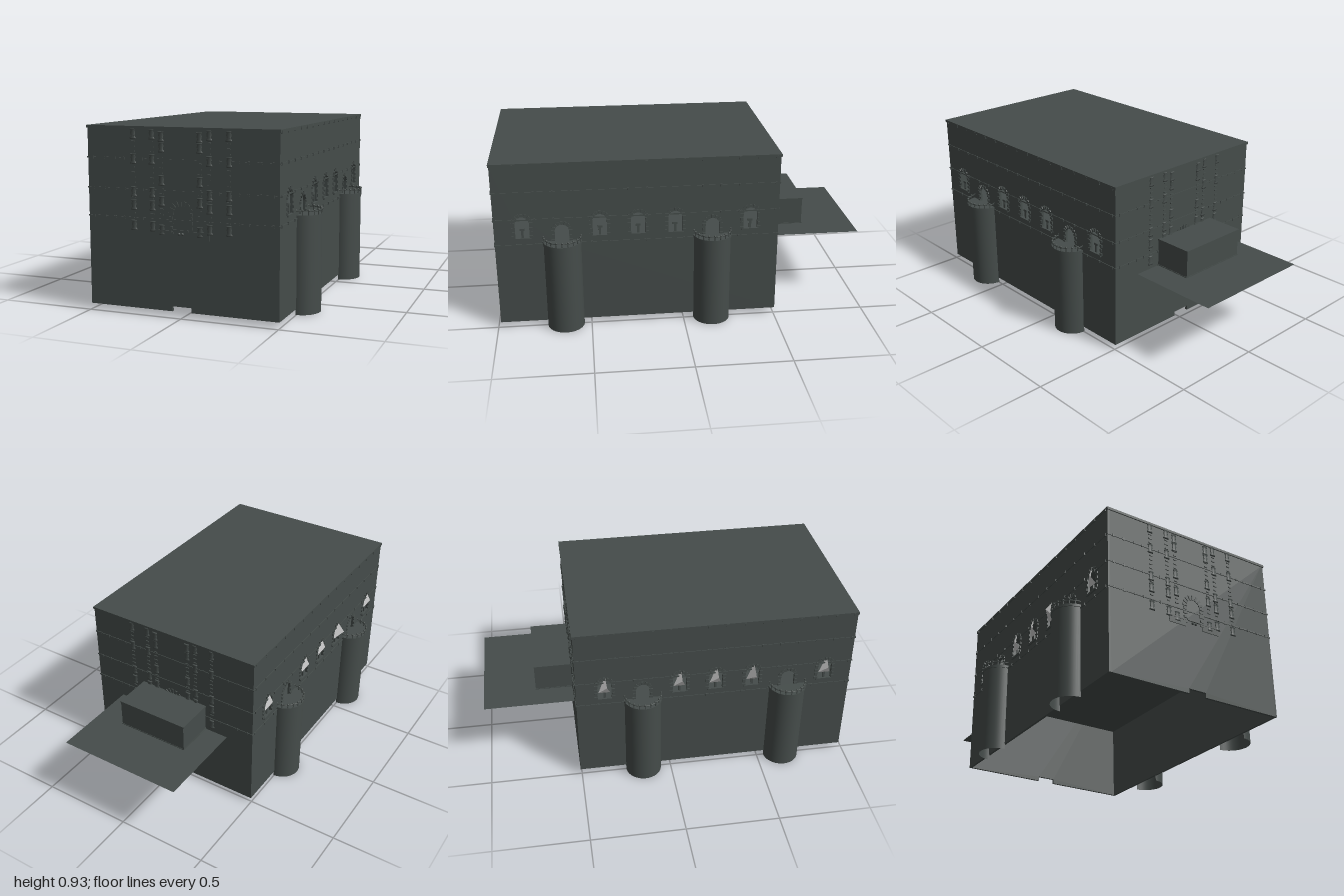
import * as THREE from 'three';

export function createModel() {
  const root = new THREE.Group();
  const stone = new THREE.MeshStandardMaterial({ color: 0x454c4a, side: THREE.DoubleSide });
  stone.name = 'dark stone';
  const glass = new THREE.MeshStandardMaterial({ color: 0xd0d0d0, side: THREE.DoubleSide });
  glass.name = 'pale glass';

  const add = (name, geo, x, y, z, parent = root, mat = stone) => {
    const m = new THREE.Mesh(geo, mat);
    m.name = name;
    m.position.set(x, y, z);
    parent.add(m);
    return m;
  };
  const box = (name, w, h, d, x, y, z, parent) => add(name, new THREE.BoxGeometry(w, h, d), x, y, z, parent);

  const X = 0.5, FRONT = 0.985, BACK = -0.507, BASE = 0.03, TOP = 0.915, T = 0.012;
  const MID = (FRONT + BACK) / 2, LEN = FRONT - BACK;
  const windows = [0.84, 0.44, 0.24, 0.045, -0.355].map(z => ({ z, r: 0.037, y0: 0.515, y1: 0.6 }));
  const doors = [0.637, -0.153].map(z => ({ z, r: 0.037, y0: 0.49, y1: 0.55 }));

  // Side walls with arched openings
  function sideWall() {
    const s = new THREE.Shape();
    s.moveTo(BACK, BASE).lineTo(FRONT, BASE).lineTo(FRONT, TOP).lineTo(BACK, TOP).closePath();
    for (const o of [...windows, ...doors]) {
      const h = new THREE.Path();
      h.moveTo(o.z - o.r, o.y0).lineTo(o.z + o.r, o.y0).lineTo(o.z + o.r, o.y1);
      h.absarc(o.z, o.y1, o.r, 0, Math.PI, false);
      h.closePath();
      s.holes.push(h);
    }
    return new THREE.ExtrudeGeometry(s, { depth: T, bevelEnabled: false, curveSegments: 10 }).rotateY(-Math.PI / 2);
  }
  add('rightSideWall', sideWall(), -X + T, 0, 0);
  add('leftSideWall', sideWall(), X, 0, 0);

  // End walls with a drain notch at the foot
  const e = new THREE.Shape();
  const ex = X - T;
  e.moveTo(-ex, BASE).lineTo(-0.05, BASE).lineTo(-0.05, 0.055).lineTo(0.05, 0.055).lineTo(0.05, BASE);
  e.lineTo(ex, BASE).lineTo(ex, TOP).lineTo(-ex, TOP).closePath();
  const endGeo = new THREE.ExtrudeGeometry(e, { depth: T, bevelEnabled: false });
  add('frontWall', endGeo, 0, 0, FRONT - T);
  add('backWall', endGeo, 0, 0, BACK);

  // Roof, hall floor, rear terrace and porch
  box('roof', 1.008, 0.014, LEN + 0.01, 0, 0.92, MID);
  box('hallFloor', 2 * ex, 0.01, LEN - 2 * T, 0, 0.465, MID);
  add('rearTerrace', new THREE.PlaneGeometry(0.69, 0.49).rotateX(-Math.PI / 2), 0, 0.397, -0.755);
  box('rearPorch', 0.4, 0.15, 0.207, -0.01, 0.47, -0.611);
  box('porchCornice', 0.406, 0.008, 0.21, -0.01, 0.546, -0.612);
  box('porchPlinth', 0.406, 0.01, 0.21, -0.01, 0.396, -0.612);

  // String courses with small studs along every wall
  for (const y of [0.48, 0.62, 0.77]) {
    for (const s of [-1, 1]) {
      box('sideCourse', 0.005, 0.007, LEN + 0.008, s * (X + 0.001), y, MID);
      for (let i = 0; i < 16; i++) box('courseStud', 0.008, 0.013, 0.009, s * (X + 0.003), y, BACK + 0.02 + i * 0.097);
    }
    for (const z of [FRONT + 0.001, BACK - 0.001]) {
      box('endCourse', 2 * X, 0.007, 0.005, 0, y, z);
      for (const x of [-0.47, -0.41, -0.35, -0.3, -0.2, 0.2, 0.3, 0.35, 0.41, 0.47]) box('courseStud', 0.007, 0.013, 0.008, x, y, z);
    }
  }
  for (const s of [-1, 1]) for (let i = 0; i < 16; i++)
    box('corniceStud', 0.006, 0.015, 0.012, s * (X + 0.003), 0.915, BACK + 0.02 + i * 0.097);

  // Ring of stones around an arch, drawn in the XY plane
  function archStones(r, y0, y1, w) {
    const g = new THREE.Group();
    g.name = 'archStones';
    for (let i = 0; i <= 8; i++) {
      const a = i * Math.PI / 8;
      box('archStone', w, r * 0.3, 0.007, Math.cos(a) * (r + w / 2), y1 + Math.sin(a) * (r + w / 2), 0, g).rotation.z = a;
    }
    for (const s of [-1, 1]) for (let y = y0 + 0.01, i = 0; y < y1 - 0.01; y += 0.024, i++)
      box('jambStone', w * (i % 2 ? 0.7 : 1), 0.014, 0.007, s * (r + w / 2), y, 0, g);
    return g;
  }

  // Side windows: surround, sill, small mullion, and opened panes on one side
  for (const s of [-1, 1]) {
    for (const o of [...windows, ...doors]) {
      const g = archStones(o.r, o.y0, o.y1, 0.018);
      g.rotation.y = Math.PI / 2;
      g.position.set(s * (X + 0.002), 0, o.z);
      root.add(g);
    }
    for (const o of windows) {
      box('windowSill', 0.016, 0.01, 0.09, s * X, o.y0, o.z);
      box('windowMullion', 0.008, 0.05, 0.012, s * (X - 0.006), o.y0 + 0.025, o.z);
      box('mullionCap', 0.008, 0.012, 0.026, s * (X - 0.006), o.y0 + 0.05, o.z);
    }
  }
  windows.forEach((o, i) => {
    const depth = i === 1 ? 0.045 : 0.025;
    const pane = new THREE.BufferGeometry();
    pane.setAttribute('position', new THREE.Float32BufferAttribute([
      0, -0.045, -0.033, -depth, 0, 0.012, 0, 0.06, 0.005,
      0, -0.045, -0.033, 0, -0.045, 0.03, -depth, 0, 0.012], 3));
    pane.computeVertexNormals();
    add('windowPane', pane, -X + 0.002, 0.6, o.z, root, glass);
  });

  // Half-round towers carrying railed balconies
  for (const s of [-1, 1]) for (const d of doors) {
    const t = new THREE.Group();
    t.name = 'balconyTower';
    t.position.set(s * (X - 0.003), 0, d.z);
    t.rotation.y = s > 0 ? 0 : Math.PI;
    root.add(t);
    const half = (r, h, open) => new THREE.CylinderGeometry(r, r, h, 24, 1, open, 0, Math.PI);
    add('towerShaft', half(0.098, 0.485, true), 0, 0.2425, 0, t);
    add('balconySlab', half(0.102, 0.014, false), 0, 0.49, 0, t);
    const rail = new THREE.TorusGeometry(0.098, 0.003, 6, 24, Math.PI).rotateX(Math.PI / 2).rotateY(Math.PI / 2);
    add('balconyRail', rail, 0, 0.516, 0, t);
    for (let i = 0; i <= 10; i++) {
      const a = i * Math.PI / 10, x = Math.sin(a) * 0.098, z = Math.cos(a) * 0.098;
      add('railPost', new THREE.CylinderGeometry(0.003, 0.003, 0.024, 6), x, 0.506, z, t);
      add('railKnob', new THREE.SphereGeometry(0.006, 8, 6), x, 0.521, z, t);
    }
  }

  // End-wall ornament: pilasters of turned blocks and ticks around a portal
  const profile = [[0, -0.025], [0.016, -0.025], [0.016, -0.018], [0.01, -0.01], [0.014, 0.006],
    [0.01, 0.016], [0.015, 0.02], [0.015, 0.025], [0, 0.025]].map(p => new THREE.Vector2(...p));
  const vase = new THREE.LatheGeometry(profile, 10).scale(1, 1, 0.45);
  function ornament(z) {
    const g = new THREE.Group();
    g.name = 'endWallOrnament';
    g.position.z = z;
    root.add(g);
    for (const s of [-1, 1]) {
      for (const x of [0.25, 0.15, 0.1]) {
        const blocks = x === 0.1 ? [0.88, 0.83, 0.67, 0.57, 0.43] : [0.89, 0.77, 0.61, 0.545, 0.445];
        for (const y of blocks) add('pilasterBlock', vase, s * x, y, 0, g);
        for (let y = 0.48; y < 0.9; y += 0.025) box('pilasterTick', 0.018, 0.006, 0.008, s * x, y, 0, g);
      }
      box('portalLedge', 0.1, 0.035, 0.006, s * 0.1, 0.407, 0, g);
      box('ledgeCap', 0.106, 0.008, 0.01, s * 0.1, 0.426, 0, g);
      add('portalKnob', new THREE.SphereGeometry(0.007, 8, 6), s * 0.009, 0.415, 0.002, g);
    }
    g.add(archStones(0.038, 0.41, 0.512, 0.026));
    box('portalStep', 0.08, 0.01, 0.01, 0, 0.43, 0, g);
    return g;
  }
  ornament(FRONT + 0.001);
  ornament(BACK - 0.001).rotation.y = Math.PI;

  return root;
}
